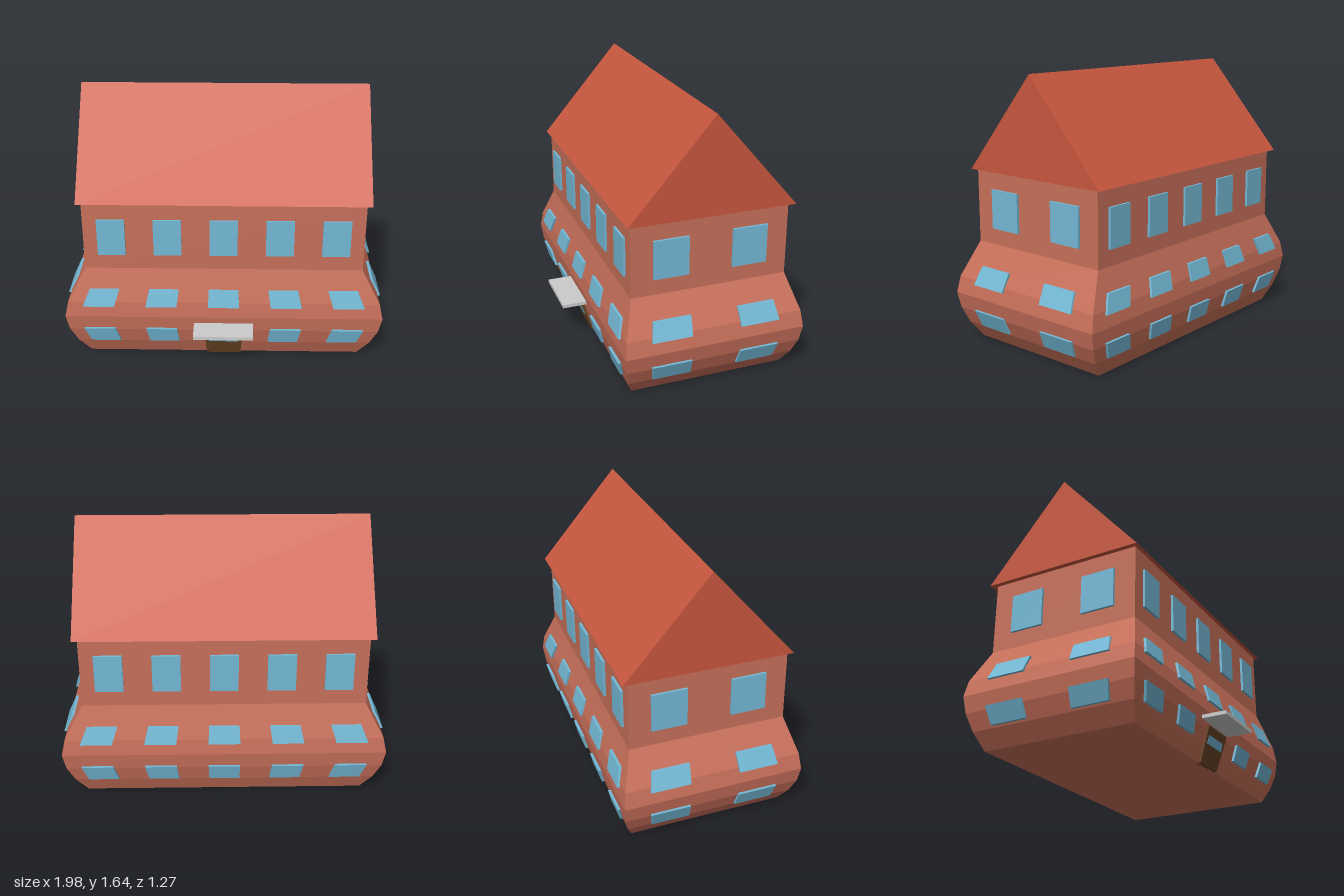
import * as THREE from 'three';

const CZ = -0.065; // z of the house's middle
const HX = 0.855, HZ = 0.48; // half sizes of the straight walls
const WALL_TOP = 1.06;

// Height and half width of the bulging wall profile
const PROFILE = [[0, 0.855], [0.1, 0.925], [0.2, 0.97], [0.3, 0.99], [0.4, 0.968], [0.61, 0.855], [WALL_TOP, 0.855]];

function bulge(y) {
  for (let i = 1; i < PROFILE.length; i++) {
    const [y0, w0] = PROFILE[i - 1], [y1, w1] = PROFILE[i];
    if (y <= y1) return THREE.MathUtils.lerp(w0, w1, (y - y0) / (y1 - y0)) / HX;
  }
  return 1;
}

// Spreads every vertex outwards by the bulge at its height
function swell(geo) {
  const p = geo.attributes.position;
  for (let i = 0; i < p.count; i++) {
    const s = bulge(Math.max(0, p.getY(i)));
    p.setXYZ(i, p.getX(i) * s, p.getY(i), p.getZ(i) * s + CZ);
  }
  geo.computeVertexNormals();
  return geo;
}

const paint = (color) => new THREE.MeshStandardMaterial({ color, flatShading: true });

export function createModel() {
  const house = new THREE.Group();
  house.name = 'house';
  const wallMat = paint(0xc8705a), roofMat = paint(0xc9573f);
  const glassMat = paint(0x74b9d6), doorMat = paint(0x6b4526), greyMat = paint(0xcccccc);

  const add = (name, geo, mat, parent = house) => {
    const mesh = new THREE.Mesh(geo, mat);
    mesh.name = name;
    parent.add(mesh);
    return mesh;
  };
  // Box given by centre x, z, bottom and top, then swollen with the walls
  const swollenBox = (x, z, w, d, y0, y1) =>
    swell(new THREE.BoxGeometry(w, y1 - y0, d).translate(x, (y0 + y1) / 2, z));

  // Walls: a box whose rows are moved to the profile heights
  const rows = PROFILE.length - 1;
  const walls = new THREE.BoxGeometry(HX * 2, rows, HZ * 2, 1, rows, 1).translate(0, rows / 2, 0);
  const p = walls.attributes.position;
  for (let i = 0; i < p.count; i++) p.setY(i, PROFILE[Math.round(p.getY(i))][0]);
  add('walls', swell(walls), wallMat);

  // Gable roof
  const gable = new THREE.Shape([
    new THREE.Vector2(-0.51, 1.055), new THREE.Vector2(0.51, 1.055), new THREE.Vector2(0, 1.645)]);
  const roof = new THREE.ExtrudeGeometry(gable, { depth: 1.77, bevelEnabled: false });
  roof.translate(0, 0, -0.885).rotateY(Math.PI / 2).translate(0, 0, -0.07);
  add('roof', roof, roofMat);

  // Three rows of windows on all four sides
  const windows = new THREE.Group();
  windows.name = 'windows';
  house.add(windows);
  const T = 0.03; // thickness, half of it standing out
  for (const [y0, y1] of [[0.112, 0.215], [0.377, 0.483], [0.71, 0.947]]) {
    for (const side of [-1, 1]) {
      for (let i = -2; i <= 2; i++)
        add('window', swollenBox(i * 0.342, side * HZ, 0.17, T, y0, y1), glassMat, windows);
      for (const z of [-0.241, 0.241])
        add('window', swollenBox(side * HX, z, T, 0.214, y0, y1), glassMat, windows);
    }
  }

  // Front door and the canopy over it
  add('door', swollenBox(0, HZ, 0.214, 0.036, 0, 0.21), doorMat);
  add('canopy', new THREE.BoxGeometry(0.37, 0.022, 0.185).translate(0, 0.246, 0.545), greyMat);

  return house;
}
